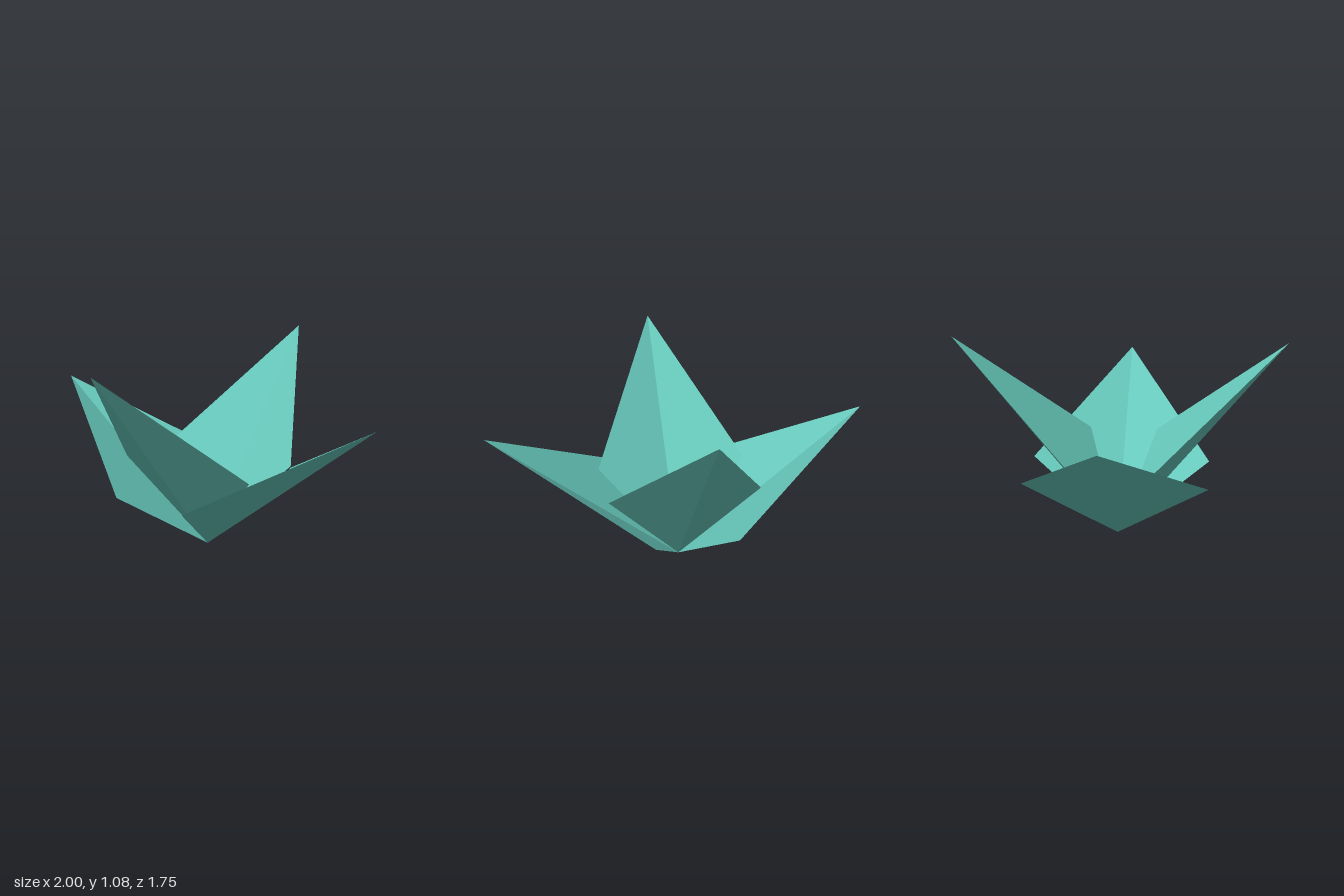
import * as THREE from 'three';

const teal = new THREE.MeshStandardMaterial({ color: 0x66c7ba, side: THREE.DoubleSide, flatShading: true });
teal.name = 'teal';

// Folded leaf: two triangles meeting at a straight spine from the base to the tip.
function foldedLeaf(name, tip, leftCorner, rightCorner) {
  const base = [0, 0, 0];
  const geometry = new THREE.BufferGeometry();
  geometry.setAttribute('position', new THREE.Float32BufferAttribute(
    [base, tip, leftCorner, base, rightCorner, tip].flat(), 3));
  geometry.computeVertexNormals();
  const mesh = new THREE.Mesh(geometry, teal);
  mesh.name = name;
  return mesh;
}

export function createModel() {
  const group = new THREE.Group();
  group.name = 'foldedPlant';
  for (const s of [1, -1]) {
    // Broad, low leaves to the sides
    group.add(foldedLeaf(s > 0 ? 'leftLeaf' : 'rightLeaf',
      [s, 0.8, 0], [s * 0.215, 0.35, s * 0.49], [s * 0.215, 0.35, -s * 0.49]));
    // Narrow, steep leaves to the front and back
    group.add(foldedLeaf(s > 0 ? 'frontLeaf' : 'backLeaf',
      [0, 1.08, s * 0.875], [-s * 0.405, 0.47, s * 0.19], [s * 0.405, 0.47, s * 0.19]));
  }
  return group;
}
